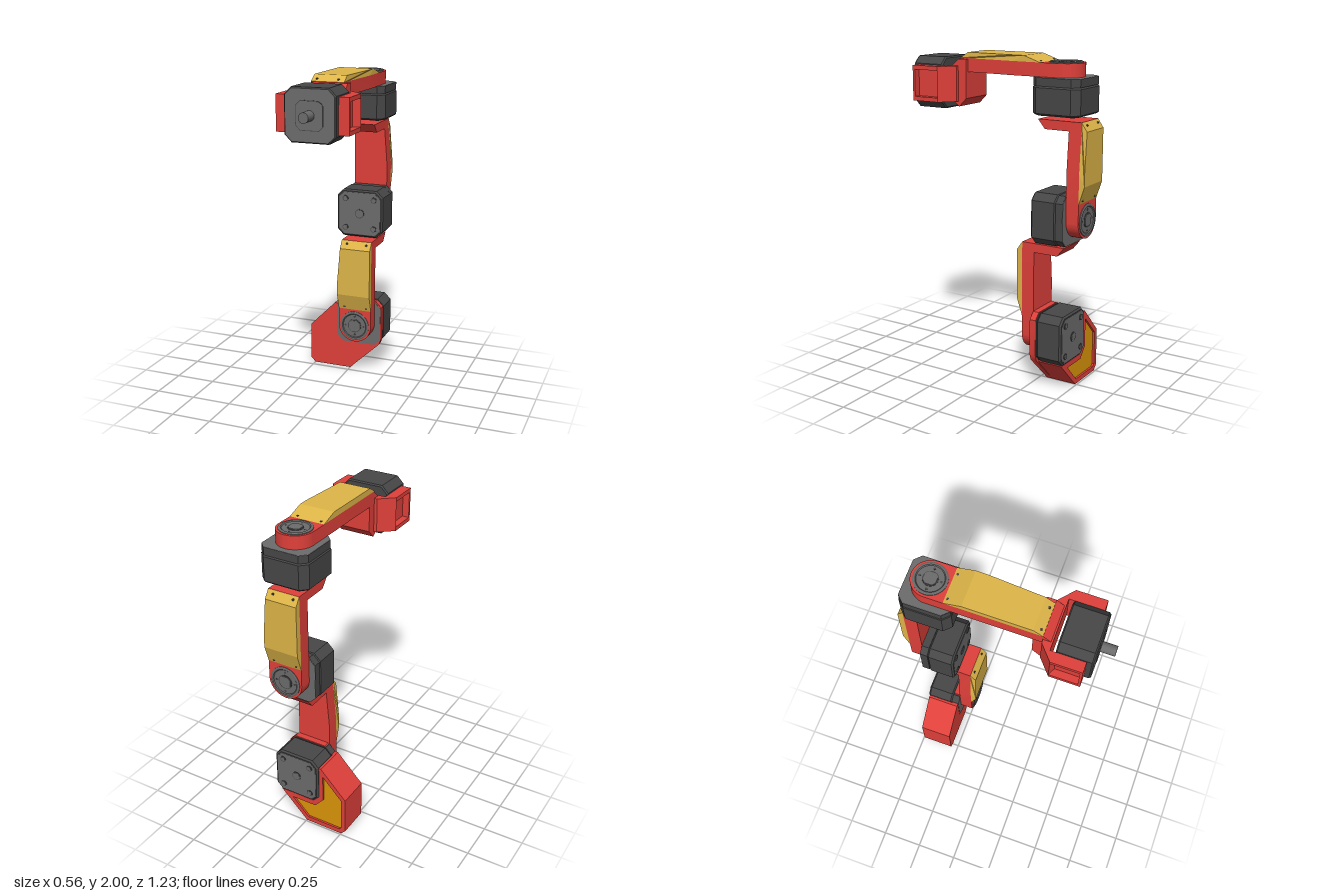
import * as THREE from 'three';
import { toCreasedNormals } from 'three/addons/utils/BufferGeometryUtils.js';

const paint = (name, color) => {
  const m = new THREE.MeshStandardMaterial({ color });
  m.name = name;
  return m;
};

const shapeOf = pts => new THREE.Shape(pts.map(p => new THREE.Vector2(...p)));

// Outline pushed along +z from z0 to z1, with an optional bevel
function extrude(shape, z0, z1, bevel = 0) {
  const g = new THREE.ExtrudeGeometry(shape, {
    depth: z1 - z0 - 2 * bevel, curveSegments: 24, bevelEnabled: bevel > 0,
    bevelThickness: bevel, bevelSize: bevel, bevelOffset: -bevel, bevelSegments: 1,
  });
  return toCreasedNormals(g.translate(0, 0, z0 + bevel), 0.5);
}
// Side profile of (z, y) points spanning x0 to x1
const acrossX = (pts, x0, x1) => extrude(shapeOf(pts), -x1, -x0).rotateY(-Math.PI / 2);
// Plan outline of (x, z) points spanning y0 to y1
const upY = (pts, y0, y1) => extrude(shapeOf(pts), -y1, -y0).rotateX(Math.PI / 2);
// Disc or rod along z
const rod = (r, z0, z1, x = 0, y = 0, n = 24) =>
  new THREE.CylinderGeometry(r, r, z1 - z0, n).rotateX(Math.PI / 2).translate(x, y, (z0 + z1) / 2);
// Square with cut corners
const cutSquare = (h, c) => shapeOf([
  [-h + c, -h], [h - c, -h], [h, -h + c], [h, h - c],
  [h - c, h], [-h + c, h], [-h, h - c], [-h, -h + c]]);

export function createModel() {
  const red = paint('red', 0xe0403a), yellow = paint('yellow', 0xdeb548);
  const amber = paint('amber', 0xdc960a), dark = paint('dark grey', 0x474747);
  const grey = paint('grey', 0x6c6c6c);
  const model = new THREE.Group();
  model.name = 'robotArm';

  const add = (parent, name, geometry, material) => {
    const mesh = new THREE.Mesh(geometry, material);
    mesh.name = name;
    parent.add(mesh);
    return mesh;
  };
  const group = (parent, name) => {
    const g = new THREE.Group();
    g.name = name;
    parent.add(g);
    return g;
  };

  // Joint motor; its outer end faces -z
  function motor(parent) {
    const m = group(parent, 'motor');
    add(m, 'motorBody', extrude(cutSquare(0.153, 0.042), -0.29, -0.125, 0.01), dark);
    add(m, 'motorFlange', extrude(cutSquare(0.15, 0.04), -0.126, -0.081), dark);
    add(m, 'flangeFace', extrude(cutSquare(0.149, 0.04), -0.082, -0.079), grey);
    add(m, 'endPlate', extrude(cutSquare(0.137, 0.035), -0.292, -0.286), grey);
    for (const x of [-0.095, 0.095]) for (const y of [-0.095, 0.095]) {
      add(m, 'screw', rod(0.019, -0.296, -0.29, x, y), dark);
      add(m, 'screwHead', rod(0.014, -0.298, -0.29, x, y), grey);
    }
    add(m, 'endRing', rod(0.03, -0.295, -0.29), dark);
    add(m, 'endCap', rod(0.025, -0.297, -0.29), grey);
    return m;
  }

  // Round output horn, facing +z
  function horn(parent) {
    const h = group(parent, 'horn');
    const profile = [[0, -0.01], [0.097, -0.01], [0.097, 0.004], [0.092, 0.007], [0.082, 0.007],
      [0.077, 0.002], [0, 0.002]].map(p => new THREE.Vector2(...p));
    add(h, 'hornDisc', toCreasedNormals(
      new THREE.LatheGeometry(profile, 40).rotateX(Math.PI / 2), 0.5), grey);
    add(h, 'hubRing', rod(0.045, 0, 0.004), dark);
    add(h, 'hub', extrude(cutSquare(0.036, 0.016), 0, 0.008), grey);
    for (let i = 0; i < 4; i++) {
      const a = i * Math.PI / 2;
      add(h, 'hornHole', rod(0.007, 0, 0.003, 0.062 * Math.cos(a), 0.062 * Math.sin(a), 12), dark);
    }
  }

  // Arm link: pivot at the origin, running up +y, front surface at z = 0
  function link(name, L, taperEnd, bracket) {
    const g = group(model, name);
    const R = 0.11, T = 0.285;
    const s = new THREE.Shape();
    s.moveTo(R, L);
    s.lineTo(-0.09, L);
    s.lineTo(-0.09, taperEnd);
    s.lineTo(-R, T);
    s.lineTo(-R, 0);
    s.absarc(0, 0, R, Math.PI, 2 * Math.PI, false);
    s.closePath();
    add(g, 'linkBody', extrude(s, -0.08, 0), red);

    // Raised cover, narrowed along the same edge as the body
    const cover = acrossX([[0, 0.11], [0.035, 0.215], [0.035, T], [0.035, taperEnd], [0, L],
      [0, taperEnd], [0, T]], -R, R);
    const p = cover.attributes.position;
    for (let i = 0; i < p.count; i++) {
      const t = THREE.MathUtils.clamp((p.getY(i) - T) / (taperEnd - T), 0, 1);
      if (p.getX(i) < 0) p.setX(i, -R + 0.02 * t);
    }
    cover.computeVertexNormals();
    add(g, 'cover', cover, yellow);
    for (const x of [-0.07, 0.08]) {
      add(g, 'coverScrew', rod(0.007, 0, 0.008, x, 0.128, 10), dark);
      add(g, 'coverScrew', rod(0.007, 0, 0.017, x < 0 ? -0.05 : x, L - 0.02, 10), dark);
    }

    // Hollow shelf carrying the next motor
    if (bracket) {
      const b = group(g, 'bracket');
      const side = [[-0.07, L], [-0.28, L], [-0.235, L - 0.055], [-0.07, L - 0.055]];
      add(b, 'bracketWall', acrossX(side, -0.09, -0.075), red);
      add(b, 'bracketWall', acrossX(side, 0.095, R), red);
      add(b, 'bracketTop', acrossX([[-0.07, L], [-0.28, L], [-0.235, L - 0.055],
        [-0.22, L - 0.055], [-0.22, L - 0.015], [-0.07, L - 0.015]], -0.08, 0.1), red);
    }
    motor(g);
    horn(g);
    return g;
  }

  // Base shell
  const base = group(model, 'base');
  add(base, 'basePlate', extrude(shapeOf([[-0.28, 0.03], [-0.25, 0], [0, 0], [0.2, 0.19],
    [0.214, 0.23], [0.214, 0.45], [0.175, 0.49], [-0.04, 0.49], [-0.09, 0.445], [-0.11, 0.445],
    [-0.28, 0.27]]), -0.33, -0.291), red);
  const shell = [[-0.28, 0.03], [-0.25, 0], [0, 0], [0.18, 0.18], [-0.05, 0.18],
    [-0.095, 0.225], [-0.095, 0.445], [-0.11, 0.445], [-0.28, 0.27]];
  const panel = [[-0.25, 0.045], [-0.237, 0.03], [-0.012, 0.03], [0.1, 0.145], [-0.065, 0.145],
    [-0.122, 0.21], [-0.122, 0.39], [-0.25, 0.258]];
  add(base, 'baseBody', extrude(shapeOf(shell), -0.47, -0.33), red);
  const rim = shapeOf(shell);
  rim.holes.push(new THREE.Path(panel.map(p => new THREE.Vector2(...p))));
  add(base, 'baseRim', extrude(rim, -0.49, -0.47), red);
  add(base, 'basePanel', extrude(shapeOf(panel), -0.477, -0.469), amber);

  // Three links, each turned to its own joint
  link('lowerLink', 0.575, 0.525, true).position.set(0.06, 0.335, -0.21);
  const middle = link('middleLink', 0.575, 0.525, true);
  middle.position.set(0.06, 1.07, -0.58);
  middle.rotation.y = Math.PI;
  const upper = link('upperLink', 0.665, 0.61, false);
  upper.position.set(0.06, 1.965, -0.43);
  upper.quaternion.setFromRotationMatrix(new THREE.Matrix4().makeBasis(
    new THREE.Vector3(-1, 0, 0), new THREE.Vector3(0, 0, 1), new THREE.Vector3(0, 1, 0)));

  // Wrist fork: symmetric about x = 0.0625
  const wrist = group(model, 'wrist');
  wrist.position.x = 0.0625;
  add(wrist, 'wristPlate', acrossX([[0.18, 1.73], [0.23, 1.68], [0.275, 1.71], [0.29, 1.71],
    [0.29, 1.92], [0.28, 1.92], [0.235, 1.96], [0.18, 1.96]], -0.11, 0.11), red);
  const mirrored = half => [...half, ...half.map(([x, z]) => [-x, z]).reverse()];
  const fork = mirrored([[0.13, 0.235], [0.2175, 0.31], [0.2175, 0.49], [0.155, 0.49], [0.155, 0.29]]);
  const web = mirrored([[0.13, 0.235], [0.2175, 0.31], [0.175, 0.33], [0.175, 0.49],
    [0.155, 0.49], [0.155, 0.29]]);
  add(wrist, 'forkFlange', upY(fork, 1.71, 1.735), red);
  add(wrist, 'forkFlange', upY(fork, 1.895, 1.92), red);
  add(wrist, 'forkWeb', upY(web, 1.735, 1.895), red);
  for (const s of [-1, 1])
    add(wrist, 'forkPost', new THREE.BoxGeometry(0.0425, 0.17, 0.015)
      .translate(s * 0.196, 1.815, 0.4825), red);

  // Tool motor with its shaft at the front
  const tool = group(model, 'toolMotor');
  tool.position.set(0.0625, 1.815, 0);
  add(tool, 'toolBody', extrude(cutSquare(0.153, 0.042), 0.32, 0.526, 0.008), dark);
  add(tool, 'toolFace', extrude(cutSquare(0.146, 0.038), 0.52, 0.528), grey);
  add(tool, 'toolBossEdge', extrude(cutSquare(0.083, 0.027), 0.52, 0.53), dark);
  add(tool, 'toolBoss', extrude(cutSquare(0.079, 0.025), 0.52, 0.532), grey);
  add(tool, 'toolShaft', rod(0.03, 0.52, 0.615), grey);

  return model;
}
